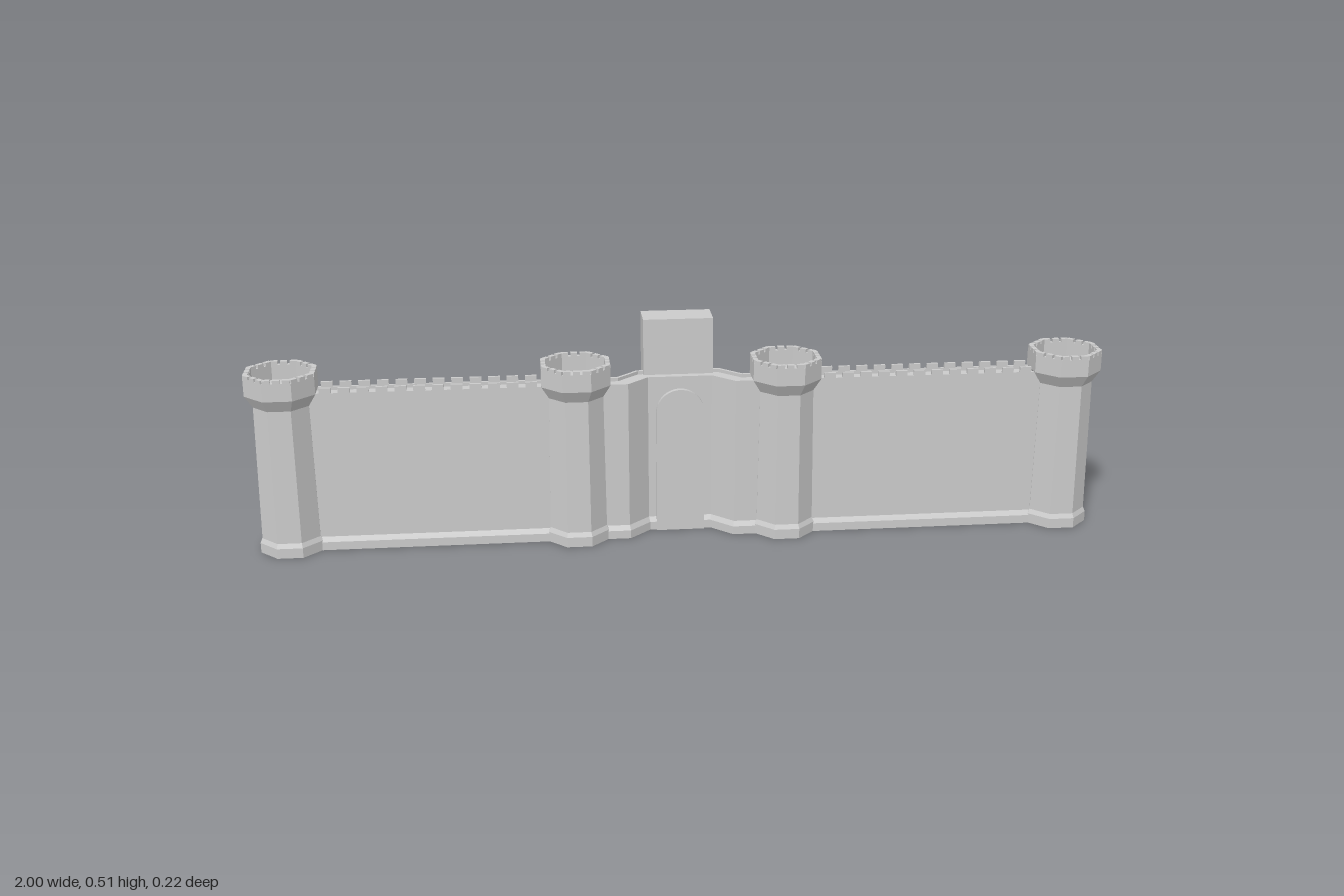
import * as THREE from 'three';

const material = new THREE.MeshStandardMaterial({ color: 0xcccccc, flatShading: true, side: THREE.DoubleSide });
const AXIS_Z = 0.033; // centre line of towers
const WALL_Z = 0.03; // centre line of walls

function add(parent, name, geometry, x = 0, y = 0, z = 0) {
  const mesh = new THREE.Mesh(geometry, material);
  mesh.name = name;
  mesh.position.set(x, y, z);
  parent.add(mesh);
  return mesh;
}

// Sweep a closed [offset, height] section along a plan path of [x, z], with mitred bends
function sweepWall(path, section) {
  const normals = path.slice(1).map(([x, z], i) => {
    const n = new THREE.Vector2(-(z - path[i][1]), x - path[i][0]);
    return n.normalize();
  });
  const rings = path.map(([x, z], i) => {
    const a = normals[Math.max(i - 1, 0)];
    const b = normals[Math.min(i, normals.length - 1)];
    const m = a.clone().add(b).divideScalar(1 + a.dot(b));
    return section.map(([d, y]) => [x + m.x * d, y, z + m.y * d]);
  });
  const positions = [];
  for (let i = 0; i < rings.length - 1; i++) {
    for (let j = 0; j < section.length; j++) {
      const k = (j + 1) % section.length;
      const [a, b, c, d] = [rings[i][j], rings[i + 1][j], rings[i + 1][k], rings[i][k]];
      positions.push(...a, ...b, ...c, ...a, ...c, ...d);
    }
  }
  const geometry = new THREE.BufferGeometry();
  geometry.setAttribute('position', new THREE.Float32BufferAttribute(positions, 3));
  geometry.computeVertexNormals();
  return geometry;
}

// Octagonal tower with plinth, flared crown, sunken platform and merlons
function makeTower(x) {
  const tower = new THREE.Group();
  tower.name = 'tower';
  tower.position.set(x, 0, AXIS_Z);
  const profile = [
    [0, 0], [0.072, 0], [0.072, 0.024], [0.067, 0.035], [0.063, 0.357],
    [0.08, 0.386], [0.08, 0.428], [0.069, 0.428], [0.069, 0.392], [0, 0.392],
  ].map(([r, y]) => new THREE.Vector2(r / Math.cos(Math.PI / 8), y));
  add(tower, 'towerBody', new THREE.LatheGeometry(profile, 8, Math.PI / 8));

  // each side: a middle merlon and two halves that meet at the corners
  for (let i = 0; i < 8; i++) {
    const side = new THREE.Group();
    side.name = 'crownMerlons';
    side.rotation.y = (i * Math.PI) / 4;
    for (const [mx, w] of [[-0.0225, 0.017], [0, 0.016], [0.0225, 0.017]]) {
      add(side, 'merlon', new THREE.BoxGeometry(w, 0.01, 0.011), mx, 0.431, 0.0745);
    }
    tower.add(side);
  }
  return tower;
}

export function createModel() {
  const model = new THREE.Group();
  model.name = 'castleWall';

  // Curtain wall, stepping back at the gate, with plinth, rear corbel and sunken walkway
  const path = [
    [-0.92, WALL_Z], [-0.137, WALL_Z], [-0.087, -0.018],
    [0.087, -0.018], [0.137, WALL_Z], [0.92, WALL_Z],
  ];
  const section = [
    [0.035, 0], [0.035, 0.02], [0.029, 0.032], [0.028, 0.385],
    [0.021, 0.385], [0.021, 0.377], [-0.022, 0.377], [-0.022, 0.385],
    [-0.029, 0.385], [-0.029, 0.365], [-0.032, 0.343], [-0.025, 0.322],
    [-0.027, 0.032], [-0.032, 0.02], [-0.032, 0],
  ];
  add(model, 'curtainWall', sweepWall(path, section));

  // Merlons along both edges of the long walls
  for (const side of [-1, 1]) {
    for (let i = 0; i < 12; i++) {
      for (const dz of [-0.0255, 0.0245]) {
        add(model, 'wallMerlon', new THREE.BoxGeometry(0.027, 0.014, 0.007),
          side * (0.35 + i * 0.0427), 0.39, WALL_Z + dz);
      }
    }
  }

  // Towers
  for (const x of [-0.92, -0.247, 0.247, 0.92]) model.add(makeTower(x));

  // Arched gate
  const arch = new THREE.Shape();
  arch.moveTo(-0.057, 0);
  arch.lineTo(0.057, 0);
  arch.lineTo(0.057, 0.298);
  arch.absarc(0, 0.298, 0.057, 0, Math.PI, false);
  arch.lineTo(-0.057, 0);
  add(model, 'gate', new THREE.ExtrudeGeometry(arch, { depth: 0.022, bevelEnabled: false, curveSegments: 12 }));

  // Plain block behind the gate
  add(model, 'rearBlock', new THREE.BoxGeometry(0.166, 0.513, 0.079), 0, 0.2565, -0.0725);

  return model;
}
